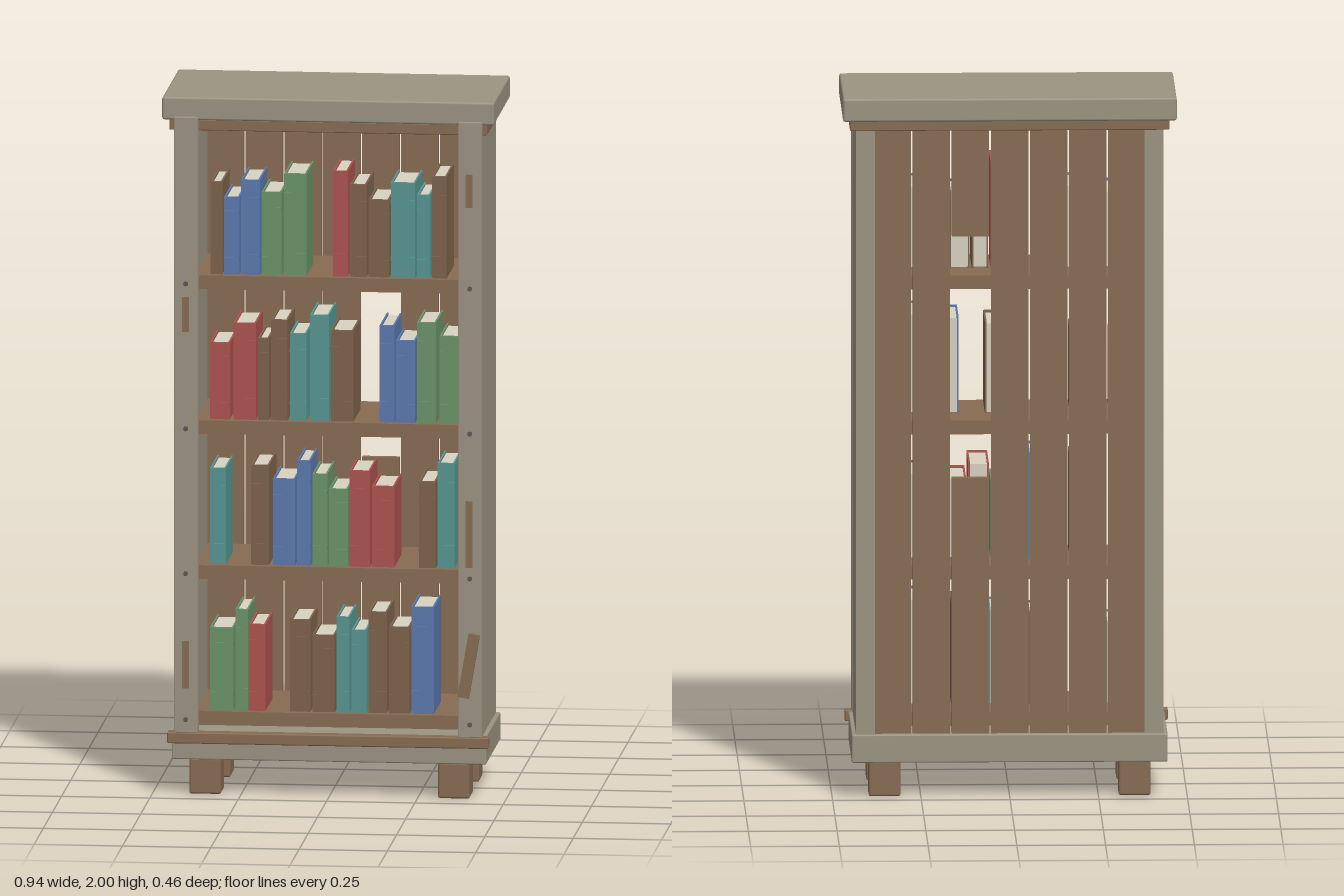
import * as THREE from 'three';
import { RoundedBoxGeometry } from 'three/addons/geometries/RoundedBoxGeometry.js';

const mat = (name, color) => {
  const m = new THREE.MeshStandardMaterial({ color });
  m.name = name;
  return m;
};

export function createModel() {
  const model = new THREE.Group();
  model.name = 'bookcase';

  const grey = mat('weathered grey', 0x9c9482);
  const wood = mat('brown wood', 0x876b52);
  const metal = mat('nail metal', 0x5e5750);
  const paper = mat('paper', 0xd8d2c0);
  const cloth = {
    n: mat('brown cloth', 0x7d634b),
    b: mat('blue cloth', 0x5b78ae),
    g: mat('green cloth', 0x6b9468),
    r: mat('red cloth', 0xad524f),
    t: mat('teal cloth', 0x579692),
  };

  // Box given by its minimum and maximum corners, optionally with eased edges
  function box(parent, name, material, [x0, x1], [y0, y1], [z0, z1], bevel = 0) {
    const w = x1 - x0, h = y1 - y0, d = z1 - z0;
    const geo = bevel ? new RoundedBoxGeometry(w, h, d, 1, bevel) : new THREE.BoxGeometry(w, h, d);
    const mesh = new THREE.Mesh(geo, material);
    mesh.name = name;
    mesh.position.set((x0 + x1) / 2, (y0 + y1) / 2, (z0 + z1) / 2);
    parent.add(mesh);
    return mesh;
  }

  // Carcass: top, mouldings and plinth
  box(model, 'topCap', grey, [-0.47, 0.47], [1.935, 2], [-0.23, 0.206], 0.006);
  box(model, 'topMoulding', wood, [-0.45, 0.45], [1.905, 1.936], [-0.206, 0.2], 0.003);
  box(model, 'plinth', grey, [-0.445, 0.445], [0.1, 0.18], [-0.212, 0.18], 0.004);
  box(model, 'plinthLip', wood, [-0.455, 0.455], [0.151, 0.183], [0.178, 0.215], 0.004);

  // Sides, front stiles and feet, mirrored
  for (const s of [-1, 1]) {
    const span = (a, b) => (s > 0 ? [a, b] : [-b, -a]);
    box(model, 'sidePanel', grey, span(0.38, 0.433), [0.18, 1.906], [-0.2, 0.178]);
    box(model, 'frontStile', grey, span(0.368, 0.436), [0.182, 1.945], [0.176, 0.213], 0.003);
    for (const z of [[0.075, 0.172], [-0.188, -0.091]])
      box(model, 'foot', wood, span(0.307, 0.397), [0, 0.102], z, 0.006);
    // Nails at each shelf
    for (const y of [1.468, 1.053, 0.638, 0.22]) {
      const nail = new THREE.Mesh(new THREE.CylinderGeometry(0.007, 0.007, 0.008, 8), metal);
      nail.name = 'nail';
      nail.rotation.x = Math.PI / 2;
      nail.position.set(s * 0.402, y, 0.215);
      model.add(nail);
    }
  }

  // Worn strips on the stiles
  for (const [x, y0, y1] of [[-0.403, 1.33, 1.43], [-0.403, 0.31, 0.445], [0.4, 1.7, 1.795], [0.4, 0.67, 0.86]])
    box(model, 'wornStrip', wood, [x - 0.01, x + 0.01], [y0, y1], [0.211, 0.217]);

  // Crooked repair slat
  const slat = box(model, 'repairSlat', wood, [0.384, 0.416], [0.298, 0.482], [0.213, 0.229]);
  slat.rotation.z = -0.17;

  // Back boards, one with a piece missing
  for (let i = 0; i < 7; i++) {
    const x = (i - 3) * 0.11;
    const parts = i === 4 ? [[0.18, 0.91], [1.6, 1.906]] : [[0.18, 1.906]];
    for (const y of parts)
      box(model, 'backBoard', wood, [x - 0.0525, x + 0.0525], y, [-0.192, -0.17]);
  }

  // Shelves
  const shelfTops = [1.485, 1.07, 0.655, 0.237];
  for (const y of shelfTops)
    box(model, 'shelf', wood, [-0.38, 0.38], [y - 0.039, y], [-0.17, 0.172]);

  // Book: two covers, spine, raised bands and an inset page block
  function book(x0, x1, y0, y1, cover) {
    const g = new THREE.Group();
    g.name = 'book';
    const front = 0.15, back = -0.05, t = 0.005, h = y1 - y0;
    box(g, 'cover', cover, [x0, x0 + t], [y0, y1], [back, front]);
    box(g, 'cover', cover, [x1 - t, x1], [y0, y1], [back, front]);
    box(g, 'spine', cover, [x0 + t, x1 - t], [y0, y1], [front - 0.008, front]);
    box(g, 'pages', paper, [x0 + t, x1 - t], [y0 + 0.003, y1 - 0.006], [back + 0.006, front - 0.008]);
    for (const f of [0.2, 0.8])
      box(g, 'spineBand', cover, [x0, x1], [y0 + h * f - 0.005, y0 + h * f + 0.005], [front, front + 0.003]);
    model.add(g);
  }

  // Each row: cloth, left edge, right edge, height (hundredths)
  const rows = [
    [['n', -33.8, -30.5, 26.5], ['b', -30, -25.7, 22.2], ['b', -25.2, -19.9, 27.2], ['g', -19.4, -13.8, 23.8],
      ['g', -13, -6.7, 29.2], ['r', 0.8, 5, 30.2], ['n', 5.7, 10.3, 26.5], ['n', 10.9, 16.7, 22.2],
      ['t', 17.2, 24.1, 27.2], ['t', 24.6, 28.3, 23.8], ['n', 28.8, 33, 29.2]],
    [['r', -34, -28.4, 22], ['r', -27.3, -21, 27.7], ['n', -20.4, -17.3, 23.5], ['n', -16.7, -12, 28.8],
      ['t', -11.4, -6.7, 25], ['t', -5.7, -0.3, 30.4], ['n', 0.2, 6.6, 26.1], ['b', 14, 18.2, 27.7],
      ['b', 18.7, 24.1, 23.5], ['g', 24.6, 30, 28.8], ['g', 31, 36.8, 25]],
    [['t', -34, -29.5, 27.5], ['n', -22.4, -17.3, 28.6], ['b', -16.2, -9.9, 24.8], ['b', -9.3, -5.6, 30.1],
      ['g', -5, -0.8, 26.4], ['g', -0.3, 5, 22.2], ['r', 5.5, 11.3, 27.5], ['r', 11.9, 18.2, 23.2],
      ['n', 25.1, 29.9, 24.8], ['t', 30.4, 35.2, 30.1]],
    [['g', -34, -27.4, 23.7], ['g', -26.8, -23.2, 29], ['r', -22.9, -18.3, 24.8], ['n', -11.3, -5.6, 26.4],
      ['n', -5, 1.3, 22.1], ['t', 1.8, 5.5, 27.4], ['t', 6.1, 10.3, 23.7], ['n', 10.9, 16.1, 29],
      ['n', 16.7, 22.5, 24.8], ['b', 23, 29.4, 30.6]],
  ];
  rows.forEach((row, i) => {
    const y = shelfTops[i];
    for (const [c, a, b, h] of row) book(a / 100, b / 100, y, y + h / 100, cloth[c]);
  });

  return model;
}
